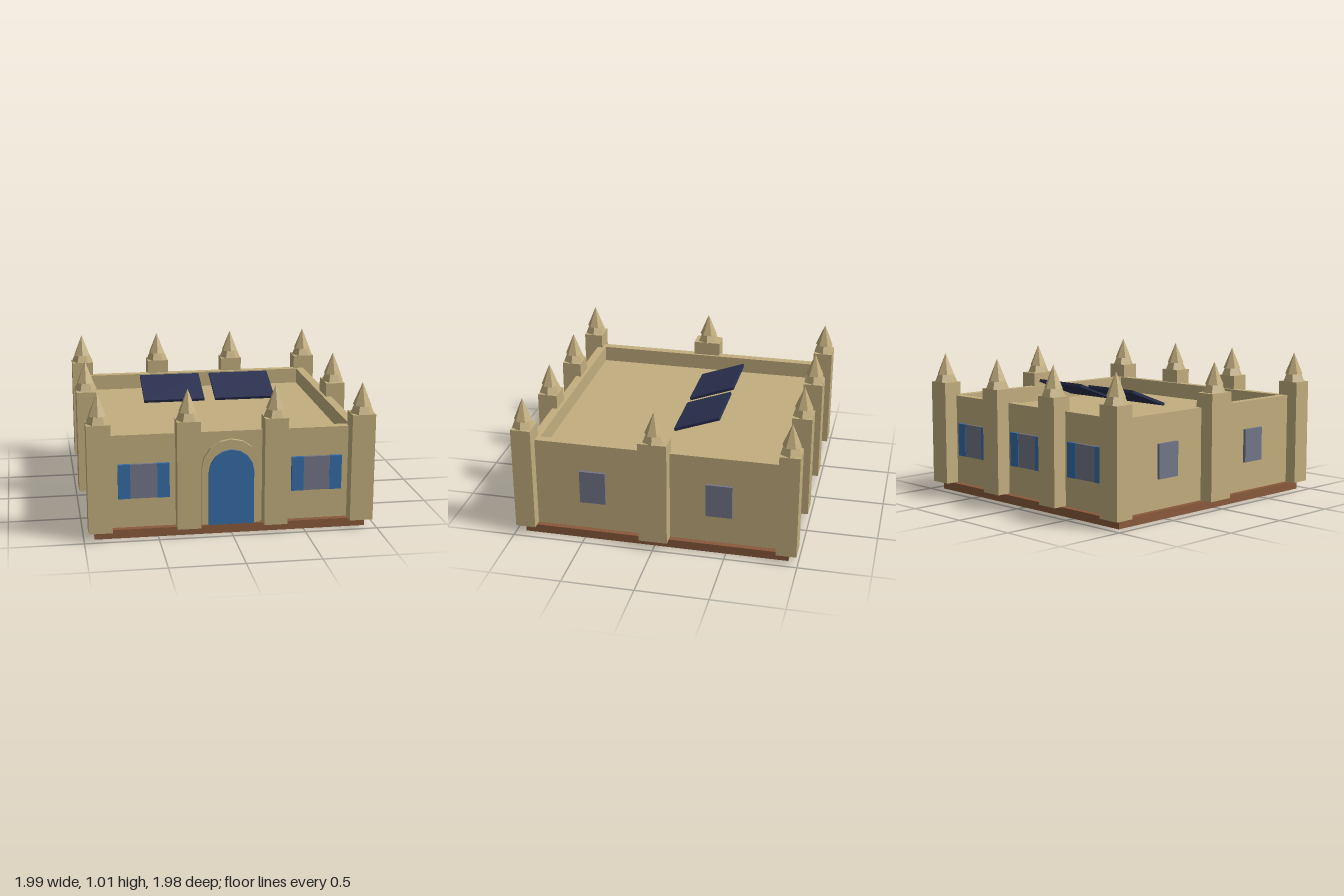
import * as THREE from 'three';

const material = (name, color, flatShading = false) => {
  const m = new THREE.MeshStandardMaterial({ color });
  m.name = name;
  m.flatShading = flatShading;
  return m;
};

export function createModel() {
  const sand = material('sandstone', 0xc2ae7e, true);
  const brown = material('brown base', 0x8a5a3c);
  const blue = material('blue paint', 0x356ca6);
  const grey = material('grey glass', 0x737688);
  const navy = material('navy panel', 0x2a3050);

  const model = new THREE.Group();
  model.name = 'castleHouse';

  const add = (name, geometry, mat, x = 0, y = 0, z = 0, parent = model) => {
    const mesh = new THREE.Mesh(geometry, mat);
    mesh.name = name;
    mesh.position.set(x, y, z);
    parent.add(mesh);
    return mesh;
  };
  const box = (w, h, d) => new THREE.BoxGeometry(w, h, d);
  const rectangle = (Type, hw, hd) => new Type([
    new THREE.Vector2(-hw, -hd), new THREE.Vector2(hw, -hd),
    new THREE.Vector2(hw, hd), new THREE.Vector2(-hw, hd),
  ]);

  const FLOOR = 0.06, WALL_TOP = 0.705, ROOF = 0.59, WALL = 0.888;

  // Base slab
  add('base', box(1.855, FLOOR, 1.865), brown, 0, FLOOR / 2, 0);

  // Walls, rising past the sunken roof as a parapet
  const ring = rectangle(THREE.Shape, WALL, WALL);
  ring.holes.push(rectangle(THREE.Path, 0.826, 0.826));
  const walls = new THREE.ExtrudeGeometry(ring, { depth: WALL_TOP - FLOOR, bevelEnabled: false });
  walls.rotateX(-Math.PI / 2);
  add('walls', walls, sand, 0, FLOOR, 0);
  add('roof', box(1.652, 0.04, 1.652), sand, 0, ROOF - 0.02, 0);

  // Pillars with six-sided spires
  const pillar = (x, z, w, d) => {
    const group = new THREE.Group();
    group.name = 'pillar';
    group.position.set(x, 0, z);
    model.add(group);
    add('shaft', box(w, 0.745, d), sand, 0, FLOOR + 0.3725, 0, group);
    const foot = new THREE.CylinderGeometry(0.058, 0.081, 0.055, 6);
    foot.rotateY(Math.PI / 6);
    add('spireFoot', foot, sand, 0, 0.8325, 0, group);
    add('spireTip', new THREE.ConeGeometry(0.065, 0.157, 6), sand, 0, 0.9365, 0, group);
  };
  for (const z of [-0.92, 0.92]) {
    for (const x of [-0.89, -0.295, 0.295, 0.89]) pillar(x, z, 0.16, 0.14);
  }
  for (const x of [-0.915, 0.915]) pillar(x, 0, 0.14, 0.2);

  // Arched door and its stone surround
  const arch = (Type, radius, springY) => {
    const points = [new THREE.Vector2(-radius, FLOOR), new THREE.Vector2(radius, FLOOR)];
    for (let i = 0; i <= 8; i++) {
      const a = (i / 8) * Math.PI;
      points.push(new THREE.Vector2(radius * Math.cos(a), springY + radius * Math.sin(a)));
    }
    return new Type(points);
  };
  const extrude = (shape, depth) => new THREE.ExtrudeGeometry(shape, { depth, bevelEnabled: false });
  add('doorSurround', extrude(arch(THREE.Shape, 0.2, 0.453), 0.034), sand, 0, 0, 0.882);
  add('door', extrude(arch(THREE.Shape, 0.154, 0.43), 0.017), blue, 0, 0, 0.914);

  // Windows; the front and back ones have shutters
  const window = (x, z, turn, shutters) => {
    const group = new THREE.Group();
    group.name = 'window';
    group.position.set(x, 0.387, z);
    group.rotation.y = turn;
    model.add(group);
    add('glass', box(0.182, 0.238, 0.03), grey, 0, 0, 0.005, group);
    if (!shutters) return;
    for (const side of [-1, 1]) {
      add('shutter', box(0.082, 0.238, 0.034), blue, side * 0.132, 0, 0.007, group);
    }
  };
  for (const x of [-0.59, 0.59]) window(x, WALL, 0, true);
  for (const x of [-0.59, 0, 0.59]) window(x, -WALL, Math.PI, true);
  for (const side of [-1, 1]) {
    for (const z of [-0.443, 0.443]) window(side * WALL, z, side * Math.PI / 2, false);
  }

  // Tilted solar panels above the roof
  for (const x of [-0.263, 0.263]) {
    const panel = add('solarPanel', box(0.446, 0.02, 0.34), navy, x, 0.742, -0.2);
    panel.rotation.x = 0.35;
  }

  return model;
}
